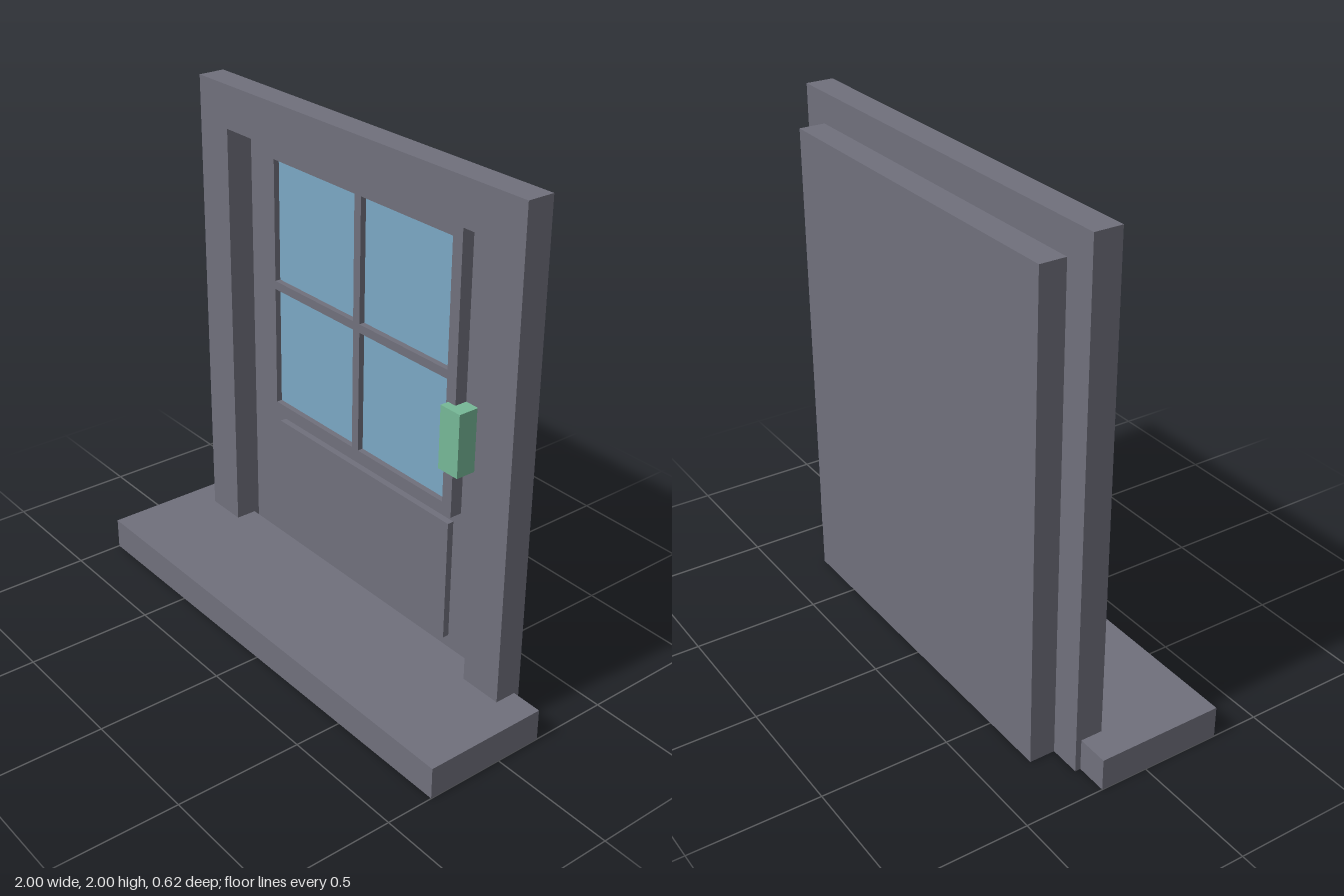
import * as THREE from 'three';

const paint = new THREE.MeshStandardMaterial({ name: 'greyPaint', color: 0x70707c });
const glass = new THREE.MeshStandardMaterial({ name: 'blueGlass', color: 0x7ba8c4 });
const green = new THREE.MeshStandardMaterial({ name: 'greenHandle', color: 0x76b897 });

const DOOR_Z = -0.21; // front face of the door slab

// Box given by its limits on each axis
function box(name, material, [x0, x1], [y0, y1], [z0, z1]) {
  const mesh = new THREE.Mesh(new THREE.BoxGeometry(x1 - x0, y1 - y0, z1 - z0), material);
  mesh.position.set((x0 + x1) / 2, (y0 + y1) / 2, (z0 + z1) / 2);
  mesh.name = name;
  return mesh;
}

function rect(target, x0, x1, y0, y1) {
  target.moveTo(x0, y0);
  target.lineTo(x1, y0);
  target.lineTo(x1, y1);
  target.lineTo(x0, y1);
  target.closePath();
  return target;
}

function extrude(name, shape, depth, z) {
  const mesh = new THREE.Mesh(new THREE.ExtrudeGeometry(shape, { depth, bevelEnabled: false }), paint);
  mesh.position.z = z;
  mesh.name = name;
  return mesh;
}

export function createModel() {
  const model = new THREE.Group();
  model.name = 'frontDoor';

  // Doorstep and door slab
  model.add(box('doorstep', paint, [-1, 1], [0, 0.127], [-0.188, 0.312]));
  model.add(box('doorSlab', paint, [-0.75, 0.75], [0, 1.88], [-0.312, DOOR_Z]));

  // Surround, open at the foot
  const surround = new THREE.Shape([
    [-0.875, 0], [-0.703, 0], [-0.703, 1.83], [0.703, 1.83],
    [0.703, 0], [0.875, 0], [0.875, 2], [-0.875, 2],
  ].map(([x, y]) => new THREE.Vector2(x, y)));
  model.add(extrude('doorFrame', surround, 0.108, DOOR_Z));

  // Window frame with four recessed panes
  const windowShape = rect(new THREE.Shape(), -0.537, 0.537, 0.705, 1.803);
  const panes = new THREE.Group();
  panes.name = 'windowPanes';
  for (const [x0, x1] of [[-0.49, -0.018], [0.018, 0.49]]) {
    for (const [y0, y1] of [[0.75, 1.236], [1.27, 1.756]]) {
      windowShape.holes.push(rect(new THREE.Path(), x0, x1, y0, y1));
      panes.add(box('pane', glass, [x0, x1], [y0, y1], [DOOR_Z, DOOR_Z + 0.027]));
    }
  }
  model.add(extrude('windowFrame', windowShape, 0.05, DOOR_Z), panes);

  // Raised lower panel and handle
  model.add(box('lowerPanel', paint, [-0.5, 0.5], [0.156, 0.652], [DOOR_Z, DOOR_Z + 0.026]));
  model.add(box('handle', green, [0.5, 0.597], [0.903, 1.152], [DOOR_Z, DOOR_Z + 0.085]));

  return model;
}
